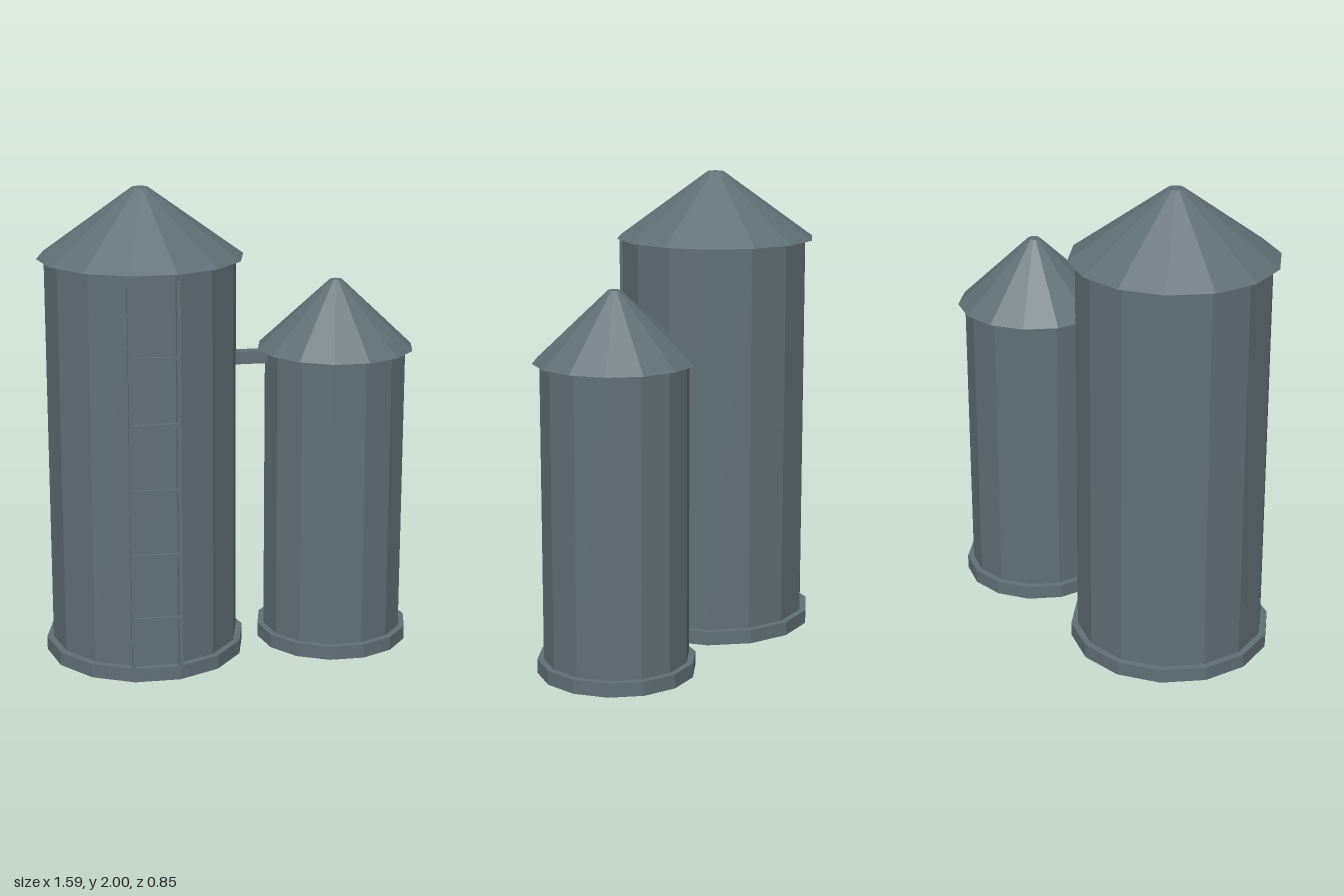
import * as THREE from 'three';

const SIDES = 14;

export function createModel() {
  const model = new THREE.Group();
  const steel = new THREE.MeshStandardMaterial({ color: 0x606f75, flatShading: true });
  steel.name = 'blue grey steel';

  function add(parent, name, geometry, x, y, z) {
    const mesh = new THREE.Mesh(geometry, steel);
    mesh.name = name;
    mesh.position.set(x, y, z);
    parent.add(mesh);
  }

  // Upright 14-sided drum from y0 to y1, with a corner pointing along x
  function drum(parent, name, rTop, rBottom, y0, y1) {
    const geometry = new THREE.CylinderGeometry(rTop, rBottom, y1 - y0, SIDES);
    geometry.rotateY(Math.PI / 2);
    add(parent, name, geometry, 0, (y0 + y1) / 2, 0);
  }

  // Silo: footing, wall and conical roof with a small flat tip
  function silo(name, x, s) {
    const group = new THREE.Group();
    group.name = name;
    group.position.set(x, 0, -0.003);
    drum(group, 'footing', s.foot, s.foot, 0, 0.06);
    drum(group, 'wall', s.wall, s.wall, 0.06, s.eaves);
    drum(group, 'roof', s.tip, s.roof, s.eaves, s.top);
    model.add(group);
  }
  silo('tallSilo', -0.368, { foot: 0.427, wall: 0.399, roof: 0.43, tip: 0.034, eaves: 1.714, top: 2 });
  silo('shortSilo', 0.459, { foot: 0.33, wall: 0.303, roof: 0.333, tip: 0.026, eaves: 1.3, top: 1.59 });

  // Connecting duct between the silos
  add(model, 'duct', new THREE.BoxGeometry(0.22, 0.053, 0.053), 0.095, 1.27, -0.003);

  // Ladder on the front of the tall silo
  const ladder = new THREE.Group();
  ladder.name = 'ladder';
  ladder.position.set(-0.368, 0, 0.412);
  for (const side of [-1, 1]) {
    add(ladder, 'ladderRail', new THREE.BoxGeometry(0.016, 1.64, 0.016), side * 0.098, 0.865, 0);
  }
  for (let i = 0; i < 5; i++) {
    add(ladder, 'ladderRung', new THREE.BoxGeometry(0.196, 0.012, 0.012), 0, 0.28 + i * 0.275, 0.008);
  }
  model.add(ladder);

  return model;
}
